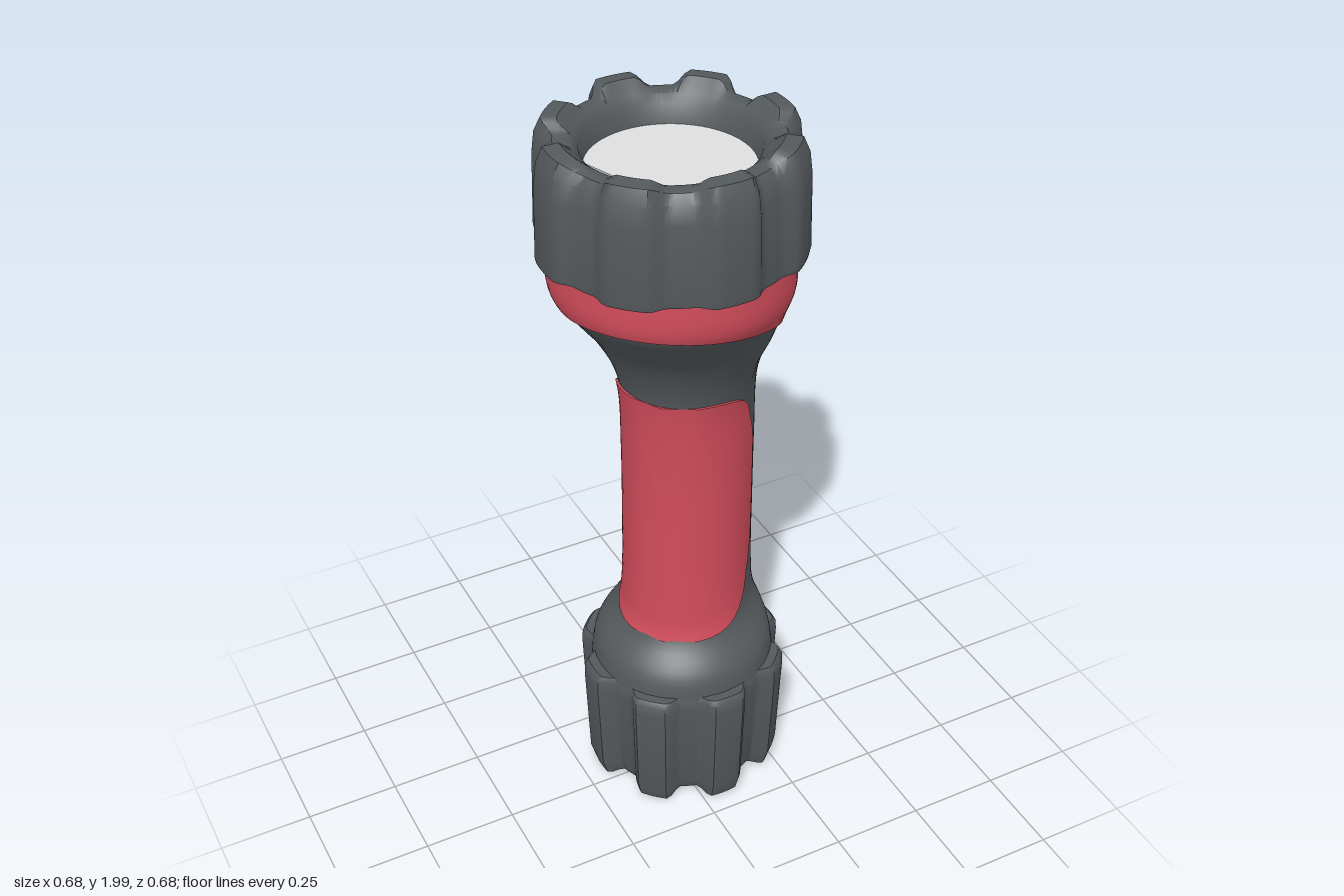
import * as THREE from 'three';
import { toCreasedNormals } from 'three/addons/utils/BufferGeometryUtils.js';

const mat = (name, color) => {
  const m = new THREE.MeshStandardMaterial({ color });
  m.name = name;
  return m;
};

// Surface from a rule: point(u, v) with u along the rows and v along the columns
function grid(rows, cols, point, crease = 0.7) {
  const pos = [], idx = [];
  for (let i = 0; i <= rows; i++)
    for (let j = 0; j <= cols; j++) pos.push(...point(i / rows, j / cols));
  for (let i = 0; i < rows; i++)
    for (let j = 0; j < cols; j++) {
      const a = i * (cols + 1) + j, d = a + cols + 1;
      idx.push(a, a + 1, d + 1, a, d + 1, d);
    }
  const g = new THREE.BufferGeometry();
  g.setAttribute('position', new THREE.Float32BufferAttribute(pos, 3));
  g.setIndex(idx);
  return toCreasedNormals(g, crease);
}

// Body sections: y, centre z, half width x, half depth z, squareness of the back
const SECTIONS = [
  [0.36, -0.085, 0.25, 0.255, 2],
  [0.44, -0.09, 0.235, 0.24, 2],
  [0.52, -0.11, 0.18, 0.198, 2.6],
  [0.60, -0.116, 0.165, 0.19, 2.9],
  [0.85, -0.121, 0.162, 0.184, 2.9],
  [1.05, -0.121, 0.162, 0.184, 2.9],
  [1.22, -0.115, 0.165, 0.19, 2.9],
  [1.32, -0.103, 0.187, 0.198, 2.7],
  [1.42, -0.073, 0.228, 0.218, 2.3],
  [1.52, -0.028, 0.262, 0.262, 2.1],
  [1.60, 0.005, 0.288, 0.293, 2],
  [1.71, 0.014, 0.29, 0.29, 2],
];
const TOP = 1.71;

// Smooth interpolation between the sections
function section(y) {
  const S = SECTIONS, last = S.length - 1;
  let i = 0;
  while (i < last - 1 && y > S[i + 1][0]) i++;
  const h = S[i + 1][0] - S[i][0], t = (y - S[i][0]) / h;
  const slope = (k, c) => {
    const a = S[Math.max(k - 1, 0)], b = S[Math.min(k + 1, last)];
    return (b[c] - a[c]) / (b[0] - a[0]);
  };
  return [1, 2, 3, 4].map((c) =>
    (2 * t ** 3 - 3 * t ** 2 + 1) * S[i][c] + (t ** 3 - 2 * t ** 2 + t) * h * slope(i, c) +
    (3 * t ** 2 - 2 * t ** 3) * S[i + 1][c] + (t ** 3 - t ** 2) * h * slope(i + 1, c));
}

const power = (v, e) => Math.sign(v) * Math.abs(v) ** e;

// Point on the body surface; angle 0 faces the grip side
function bodyPoint(y, angle, offset = 0) {
  const [cz, rx, rz, n] = section(y);
  const s = Math.sin(angle), c = Math.cos(angle), e = c < 0 ? 2 / n : 1;
  return [power(s, e) * (rx + offset), y, cz + power(c, e) * (rz + offset)];
}

// Rounded patch lying on the body, its rim tucked into the surface
function patch(angle, y, halfAngle, halfHeight, offset, square) {
  return grid(16, 72, (u, v) => {
    const p = -v * Math.PI * 2, s = Math.min(1, u * 16 / 15);
    return bodyPoint(
      y + halfHeight * s * power(Math.sin(p), 2 / square),
      angle + halfAngle * s * power(Math.cos(p), 2 / square),
      u === 1 ? -0.005 : offset);
  });
}

// Cap with eight broad lobes; rows are y, radius, lobe depth, lobe rise
function lobedCap(rows) {
  return grid(rows.length - 1, 128, (u, v) => {
    const [y, r, depth = 0, rise = 0] = rows[Math.round(u * (rows.length - 1))];
    const a = v * Math.PI * 2;
    const lobe = THREE.MathUtils.smoothstep(Math.cos(8 * a), -0.75, 0.4);
    const R = r + depth * lobe;
    return [Math.sin(a) * R, y + rise * lobe, Math.cos(a) * R];
  }, 0.6);
}

export function createModel() {
  const dark = mat('dark rubber', 0x54595c);
  const red = mat('red rubber', 0xd04c5a);
  const pale = mat('lens grey', 0xdedede);
  const shade = mat('reflector streak grey', 0xa4a4a4);

  const torch = new THREE.Group();
  torch.name = 'torch';
  const add = (name, geometry, material, parent = torch) => {
    const m = new THREE.Mesh(geometry, material);
    m.name = name;
    parent.add(m);
    return m;
  };

  // Handle flaring into the head
  add('body', grid(72, 72, (u, v) =>
    bodyPoint(0.36 + (TOP - 0.36) * u, v * Math.PI * 2)), dark);

  // Slanted band below the bezel, low at the back
  add('headBand', grid(14, 72, (u, v) => {
    const a = v * Math.PI * 2, b = -0.3 * Math.cos(a);
    const low = 1.49 - 0.46 * b - 0.33 * b * b;
    const t = Math.max(0, (u * 14 - 1) / 13);
    return bodyPoint(low + (TOP - low) * t, a, u === 0 ? -0.005 : 0.007);
  }), red);

  // Grip panel wrapping the front half of the handle
  add('gripPanel', patch(0, 0.895, 1.64, 0.375, 0.007, 4.2), red);

  // Switch on the back of the head
  add('switchSurround', patch(Math.PI + 0.04, 1.53, 0.36, 0.15, 0.012, 4), red);
  add('switchButton', patch(Math.PI + 0.04, 1.53, 0.27, 0.112, 0.017, 4), dark);

  // Bezel
  const head = new THREE.Group();
  head.name = 'head';
  head.position.z = 0.016;
  torch.add(head);
  add('bezel', lobedCap([
    [1.70, 0.25], [1.70, 0.303, 0.021], [1.715, 0.305, 0.022], [1.90, 0.295, 0.027],
    [1.945, 0.284, 0.031, 0.01], [1.965, 0.266, 0.033, 0.025], [1.968, 0.248, 0.012, 0.025],
    [1.963, 0.225], [1.945, 0.208], [1.885, 0.198],
  ]), dark, head);

  // Lens with two slender reflector streaks
  const lens = add('lens', new THREE.CircleGeometry(0.202, 48), pale, head);
  lens.rotation.x = -Math.PI / 2;
  lens.position.y = 1.897;
  lens.rotation.z = Math.PI / 4;
  [
    [[-0.175, 0.09], [-0.18, 0.05], [-0.13, -0.03]],
    [[-0.19, 0.035], [-0.185, -0.02], [-0.07, -0.17]],
  ].forEach((corners) => {
    const streak = new THREE.Shape(corners.map(([x, y]) => new THREE.Vector2(x, y)));
    add('reflectorStreak', new THREE.ShapeGeometry(streak), shade, lens).position.z = 0.003;
  });

  // Tail cap, offset towards the back
  const tail = add('tailCap', lobedCap([
    [0.025, 0], [0.025, 0.185], [0.022, 0.205, 0.012, -0.018], [0.03, 0.223, 0.034, -0.018],
    [0.06, 0.236, 0.035], [0.34, 0.249, 0.033], [0.372, 0.249, 0.031],
    [0.385, 0.242, 0.028], [0.385, 0.19],
  ]), dark);
  tail.position.z = -0.081;

  // Latch rib running up the back of the tail cap
  const rib = new THREE.Shape([
    [0.24, 0.03], [0.365, 0.03], [0.393, 0.08], [0.403, 0.45], [0.385, 0.49], [0.305, 0.545], [0.24, 0.545],
  ].map(([x, y]) => new THREE.Vector2(x, y)));
  const ribGeometry = new THREE.ExtrudeGeometry(rib, {
    depth: 0.09, bevelEnabled: true, bevelThickness: 0.015, bevelSize: 0.012, bevelOffset: -0.012, bevelSegments: 2,
  });
  ribGeometry.translate(0, 0, -0.045);
  ribGeometry.rotateY(Math.PI / 2);
  add('latchRib', ribGeometry, dark);

  // Grip side faces diagonally
  torch.rotation.y = -Math.PI / 4;
  const model = new THREE.Group();
  model.name = 'flashlight';
  model.add(torch);
  return model;
}
